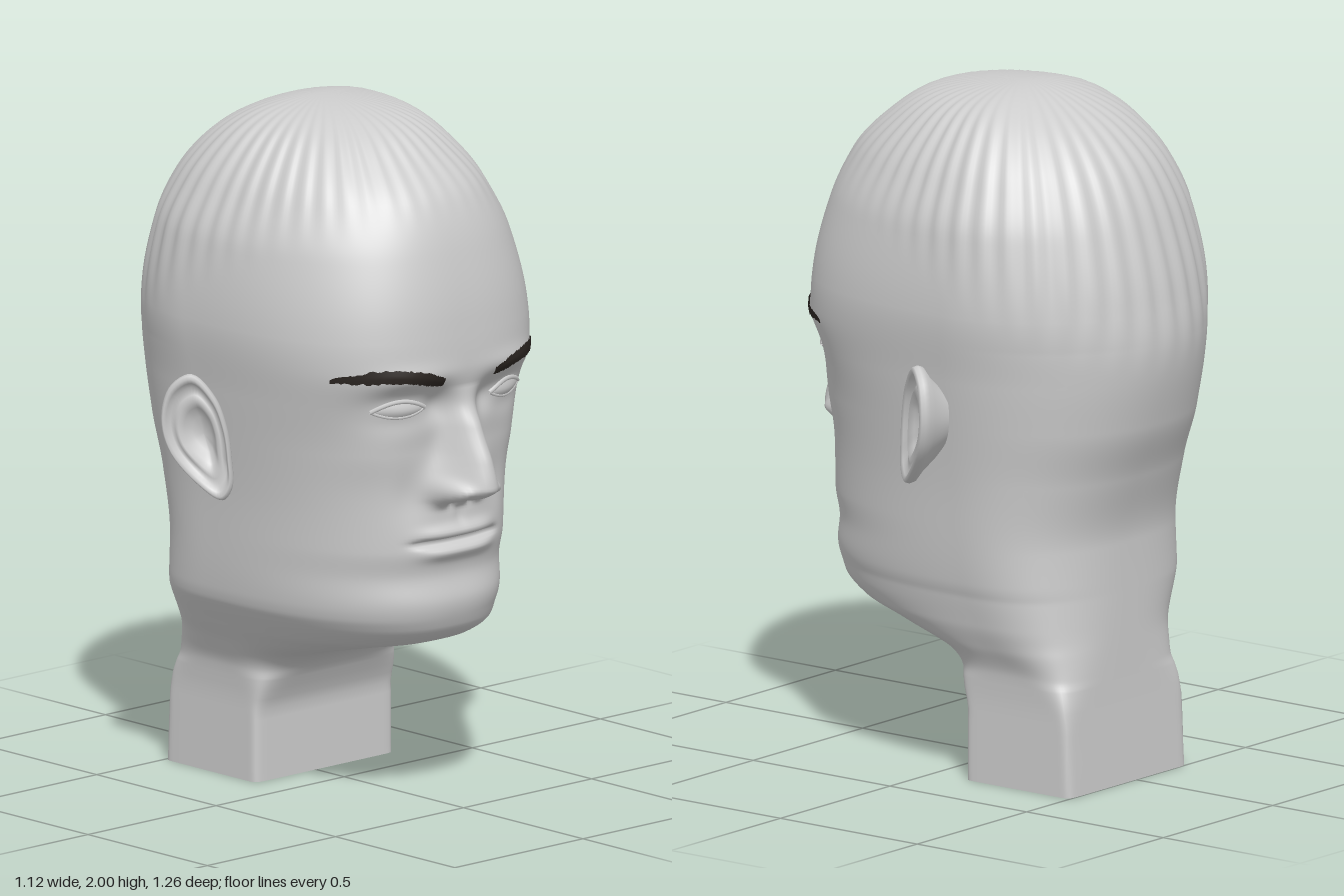
import * as THREE from 'three';

const skin = new THREE.MeshStandardMaterial({ color: 0xcccccc, side: THREE.DoubleSide });
skin.name = 'plain grey';
const hair = new THREE.MeshStandardMaterial({ color: 0x2b2521, side: THREE.DoubleSide });
hair.name = 'dark brow';

// Smooth interpolation without overshoot; points are [position, value]
function curve(pts) {
  const n = pts.length;
  const d = pts.slice(1).map((p, i) => (p[1] - pts[i][1]) / (p[0] - pts[i][0]));
  const m = pts.map((_, i) => (i === 0 ? d[0] : i === n - 1 ? d[n - 2]
    : d[i - 1] * d[i] <= 0 ? 0 : 2 * d[i - 1] * d[i] / (d[i - 1] + d[i])));
  return s => {
    let i = 0;
    while (i < n - 2 && s > pts[i + 1][0]) i++;
    const h = pts[i + 1][0] - pts[i][0];
    const t = Math.min(1, Math.max(0, (s - pts[i][0]) / h)), u = 1 - t;
    return pts[i][1] * (1 + 2 * t) * u * u + m[i] * h * t * u * u
      + pts[i + 1][1] * t * t * (3 - 2 * t) - m[i + 1] * h * t * t * u;
  };
}

// Profiles over height; an arc-like parameter closes the crown as a smooth dome
const arc = y => (y < 1.4 ? y : 1.4 + .6 * Math.asin(Math.min(1, (y - 1.4) / .6)));
const profile = pts => {
  const f = curve(pts.map(([y, v]) => [arc(y), v]));
  return y => f(arc(y));
};
const middleX = profile([[.25, .035], [.39, .032], [.56, 0]]);
const halfWidth = profile([[.25, .27], [.33, .278], [.41, .311], [.475, .343], [.6, .387],
  [.9, .412], [1.2, .45], [1.4, .474], [1.63, .45], [1.77, .395], [1.88, .32], [1.96, .22],
  [2, .0005]]);
const frontZ = profile([[.22, -.118], [.33, -.06], [.375, 0], [.44, .25], [.475, .39],
  [.53, .465], [.61, .487], [.69, .474], [.77, .487], [1.06, .472], [1.31, .528], [1.44, .52],
  [1.63, .485], [1.77, .43], [1.88, .32], [1.96, .19], [2, -.0845]]);
const backZ = profile([[0, -.5], [.3, -.487], [.7, -.482], [.9, -.53], [1.06, -.59],
  [1.3, -.632], [1.44, -.615], [1.63, -.565], [1.77, -.5], [1.88, -.4], [1.96, -.265],
  [2, -.0855]]);
const middleZ = profile([[.2, -.31], [.33, -.28], [.44, -.2], [.7, -.15], [1.2, -.15],
  [1.44, -.17], [2, -.085]]);
const frontSquareness = profile([[.2, 24], [.27, 12], [.33, 5], [.41, 2.8], [.475, 2.4],
  [.8, 2.45], [1.31, 2.8], [1.8, 2.2], [2, 2]]);
const backSquareness = profile([[.2, 24], [.33, 5], [.475, 3], [.9, 2.3], [1.31, 2]]);

const bump = (v, c, w) => Math.exp(-(((v - c) / w) ** 2));
const smooth = THREE.MathUtils.smoothstep;
const noseHeight = curve([[.885, 0], [.905, .03], [.925, .105], [.955, .15], [1.03, .137],
  [1.13, .08], [1.2, .022], [1.25, 0]]);
const noseWidth = curve([[.9, .075], [.96, .078], [1.06, .06], [1.2, .045], [1.25, .05]]);

// Forward relief of nose, sockets, lids, cheeks and lips
function features(x, y) {
  if (y < .6 || y > 1.45) return 0;
  const a = Math.abs(x), mouth = Math.exp(-((a / .13) ** 4));
  let z = noseHeight(y) * Math.exp(-((a / noseWidth(y)) ** 2.4));
  z += .045 * bump(a, .075, .027) * bump(y, .94, .032);
  z -= .02 * bump(a, .035, .016) * bump(y, .903, .012);
  z -= .048 * bump(a, .2, .1) * bump(y, 1.205, .055);
  z -= .022 * bump(a, .09, .04) * bump(y, 1.2, .05);
  z += .026 * bump(a, .205, .075) * bump(y, 1.195, .036);
  z += .012 * bump(a, .2, .12) * bump(y, 1.29, .035);
  z += .012 * bump(a, .27, .09) * bump(y, 1.06, .08);
  z -= .012 * bump(a, .16, .05) * bump(y, .93, .08);
  z += mouth * (.016 * bump(y, .815, .02) + .018 * bump(y, .758, .02));
  z -= .034 * Math.exp(-((a / .15) ** 6)) * bump(y, .789, .009);
  z -= .006 * bump(x, 0, .016) * bump(y, .86, .03);
  return z;
}

function faceZ(x, y) {
  const n = frontSquareness(y), zc = middleZ(y);
  const q = Math.min(1, Math.abs((x - middleX(y)) / halfWidth(y)) ** n);
  return zc + (frontZ(y) - zc) * (1 - q) ** (1 / n) + features(x, y);
}

// Grid surface from a point rule; wrap joins the last column to the first
function grid(rows, cols, point, { wrap = false, flip = false } = {}) {
  const pos = [], index = [], stride = wrap ? cols : cols + 1;
  for (let i = 0; i <= rows; i++) for (let j = 0; j < stride; j++) pos.push(...point(i, j));
  for (let i = 0; i < rows; i++) for (let j = 0; j < cols; j++) {
    const k = (j + 1) % stride, a = i * stride + j, b = i * stride + k;
    const c = a + stride, d = b + stride;
    if (flip) index.push(a, c, b, b, c, d);
    else index.push(a, b, c, b, d, c);
  }
  const g = new THREE.BufferGeometry();
  g.setAttribute('position', new THREE.Float32BufferAttribute(pos, 3));
  g.setIndex(index);
  g.computeVertexNormals();
  return g;
}

// Head and open-bottomed neck as one lofted skin with a ribbed crown
function headGeometry() {
  const heights = [];
  for (let i = 0; i < 10; i++) heights.push(i * .03);
  for (let i = 0; i < 146; i++) heights.push(.3 + i * 1.1 / 146);
  for (let i = 0; i <= 46; i++) heights.push(1.4 + .6 * Math.sin(i / 46 * Math.PI / 2));
  const cols = 252, ribs = 42;
  const rings = heights.map(y => [middleX, halfWidth, frontZ, backZ, middleZ,
    frontSquareness, backSquareness].map(f => f(y)));
  return grid(heights.length - 1, cols, (i, j) => {
    const y = heights[i], [cx, w, zf, zb, zc, nf, nb] = rings[i];
    const t = j / cols * Math.PI * 2, phi = t - .3 * Math.sin(t);
    const s = Math.sin(phi), c = Math.cos(phi);
    const depth = c > 0 ? zf - zc : zc - zb, n = c > 0 ? nf : nb;
    let r = (Math.abs(s / w) ** n + Math.abs(c / depth) ** n) ** (-1 / n);
    const start = 1.2 + .25 * (1 + c);
    r += .0045 * Math.cos(t * ribs) * smooth(y, start, start + .25) * Math.min(1, r / .3);
    const x = cx + r * s;
    return [x, y, zc + r * c + (c > 0 ? features(x, y) : 0)];
  }, { wrap: true });
}

// Ear dish: outline in (z, y), then rings of [scale, lift] from the bowl over the rim to the back
const earOutline = new THREE.CatmullRomCurve3([[-.1, 1.252], [-.15, 1.215], [-.172, 1.12],
  [-.15, 1.02], [-.08, .925], [-.025, .885], [-.002, .92], [-.003, 1.0], [-.015, 1.1],
  [-.045, 1.19]].map(([z, y]) => new THREE.Vector3(0, y, z)), true);
const EAR_RINGS = [[0, -.035], [.28, -.033], [.45, -.014], [.56, .002], [.66, -.006], [.78, -.012],
  [.86, .008], [.93, .014], [.98, .008], [1, -.004], [.97, -.02], [.8, -.04], [.5, -.09]];
function earGeometry(side) {
  const cols = 56, outline = earOutline.getPoints(cols);
  return grid(EAR_RINGS.length - 1, cols, (i, j) => {
    const [k, lift] = EAR_RINGS[i];
    const y = 1.07 + (outline[j].y - 1.07) * k, z = -.075 + (outline[j].z + .075) * k;
    const h = i < 6 ? lift * smooth(y, .92, 1.0) : lift;
    return [side * (.435 - .7 * z + h * .82), y, z + h * .57];
  }, { wrap: true, flip: side < 0 });
}

// Almond eye patch and the rims of its lids
const eyeX = (side, u) => side * (.207 + .08 * u);
const eyeY = (u, v) => 1.196 + v * (v > 0 ? .026 : .022) * (1 - u * u);
function eyeGeometry(side) {
  return grid(10, 20, (i, j) => {
    const u = j / 10 - 1, v = i / 5 - 1, x = eyeX(side, u), y = eyeY(u, v);
    return [x, y, faceZ(x, y) + .004 + .007 * (1 - u * u) * (1 - v * v)];
  }, { flip: side < 0 });
}
function lidGeometry(side, v) {
  const pts = [];
  for (let j = 0; j <= 12; j++) {
    const u = j / 6 - 1, x = eyeX(side, u), y = eyeY(u, v);
    pts.push(new THREE.Vector3(x, y, faceZ(x, y) + .003));
  }
  return new THREE.TubeGeometry(new THREE.CatmullRomCurve3(pts), 24, v > 0 ? .007 : .005, 6);
}

// Brow: thin strip with ragged hairy edges laid on the face
function browGeometry(side) {
  let seed = 7;
  const rnd = () => (seed = (seed * 16807) % 2147483647) / 2147483647;
  const cols = 64, low = [], high = [];
  for (let j = 0; j <= cols; j++) { low.push(rnd()); high.push(rnd()); }
  return grid(3, cols, (i, j) => {
    const u = j / cols, x = side * (.098 + .285 * u);
    const mid = 1.273 + .034 * Math.sin(Math.PI * Math.min(1, u * .82));
    const half = .016 * Math.min(1, .6 + u * 2, (1.08 - u) * 3);
    const y = mid + half * (i / 1.5 - 1) + (i === 0 ? -.006 * low[j] : i === 3 ? .006 * high[j] : 0);
    return [x, y, faceZ(x, y) + .006];
  }, { flip: side < 0 });
}

export function createModel() {
  const group = new THREE.Group();
  group.name = 'mannequinHead';
  const add = (name, geometry, material) => {
    const mesh = new THREE.Mesh(geometry, material);
    mesh.name = name;
    group.add(mesh);
  };
  add('headAndNeck', headGeometry(), skin);
  for (const [side, label] of [[1, 'left'], [-1, 'right']]) {
    add(label + 'Ear', earGeometry(side), skin);
    add(label + 'Eye', eyeGeometry(side), skin);
    add(label + 'UpperLid', lidGeometry(side, 1), skin);
    add(label + 'LowerLid', lidGeometry(side, -1), skin);
    add(label + 'Eyebrow', browGeometry(side), hair);
  }
  return group;
}
